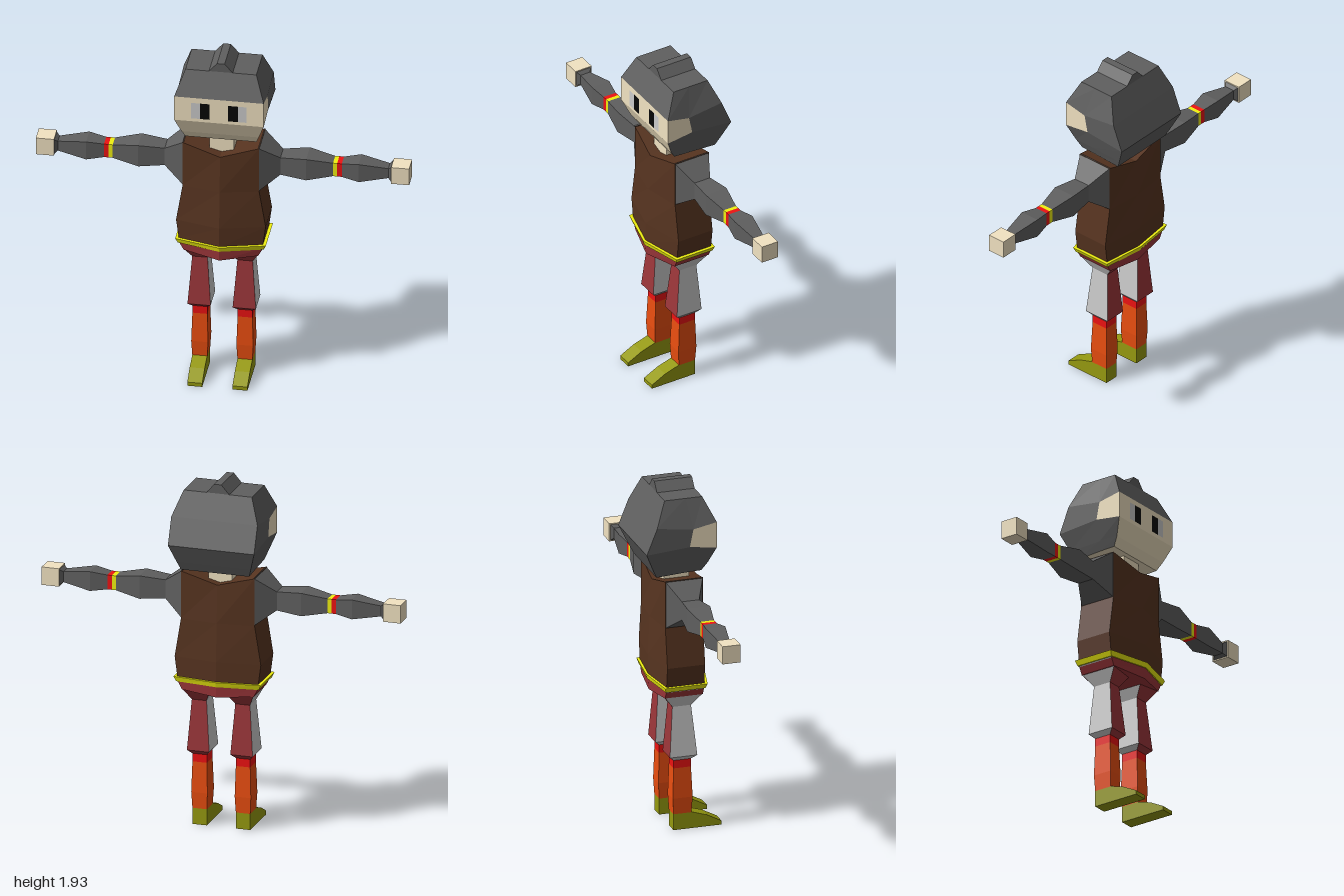
import * as THREE from 'three';

const SKIN = 0xf2e3c2, DARK = 0x5f5f5f, BROWN = 0x573420, MAROON = 0x9c363a, GREY = 0xcccccc;
const RED = 0xee1212, YELLOW = 0xf0f010, ORANGE = 0xea4e10, OLIVE = 0x969a10, BLACK = 0x060606;

// Skin ascending rings of points; keep(segment, side) picks faces.
// Segment -1 is the bottom cap and segment rings.length - 1 the top cap.
function loft(name, rings, color, keep = () => true) {
  const pos = [];
  const tri = (...pts) => pts.forEach((p) => pos.push(...p));
  const n = rings[0].length, last = rings.length - 1;
  for (let s = 0; s < last; s++) {
    for (let i = 0; i < n; i++) {
      if (!keep(s, i)) continue;
      const j = (i + 1) % n, a = rings[s], b = rings[s + 1];
      tri(a[i], a[j], b[j]);
      tri(a[i], b[j], b[i]);
    }
  }
  for (let i = 1; i < n - 1; i++) {
    if (keep(-1, 0)) tri(rings[0][0], rings[0][i + 1], rings[0][i]);
    if (keep(last, 0)) tri(rings[last][0], rings[last][i], rings[last][i + 1]);
  }
  const geo = new THREE.BufferGeometry();
  geo.setAttribute('position', new THREE.Float32BufferAttribute(pos, 3));
  geo.computeVertexNormals();
  const mesh = new THREE.Mesh(geo, new THREE.MeshStandardMaterial({ color, flatShading: true }));
  mesh.name = name;
  return mesh;
}

// Ring shapes
const rect = ([y, w, f, b = -f]) => [[w, y, f], [w, y, b], [-w, y, b], [-w, y, f]];
const hex = ([y, w, c, f, b, yMid = y]) =>
  [[0, yMid, f], [w, y, c], [w, y, -c], [0, yMid, b], [-w, y, -c], [-w, y, c]];
const headRing = ([y, yBack, w, f, b, yMid, m]) =>
  [[w, y, f], [w, yMid, m], [w, yBack, b], [-w, yBack, b], [-w, yMid, m], [-w, y, f]];

function makeHead() {
  const head = new THREE.Group();
  head.name = 'head';
  const rings = [
    [1.468, 1.455, 0.19, 0.10, -0.15, 1.465, 0.01],
    [1.515, 1.505, 0.207, 0.13, -0.174, 1.513, 0.015],
    [1.606, 1.606, 0.24, 0.17, -0.22, 1.626, 0.02],
    [1.75, 1.75, 0.24, 0.17, -0.162, 1.724, 0.04],
    [1.885, 1.885, 0.19, 0.105, -0.105, 1.885, 0.01],
  ].map(headRing);
  // Skin: chin front, underside, and the face band wrapping to the cheeks
  const isSkin = (s, i) => s === -1 || (s < 2 && i === 5) || (s === 2 && [0, 4, 5].includes(i));
  head.add(loft('face', rings, SKIN, isSkin));
  head.add(loft('hood', rings, DARK, (s, i) => !isSkin(s, i)));
  head.add(loft('crest', [[1.88, 0.068, 0.105], [1.935, 0.02, 0.105]].map(rect), DARK));
  head.add(loft('neck', [[1.34, 0.065, 0.073, -0.065], [1.48, 0.065, 0.073, -0.065]].map(rect), SKIN));
  for (const side of [-1, 1]) {
    for (const [name, color, x, w] of [['pupil', BLACK, 0.076, 0.052], ['eyeWhite', GREY, 0.125, 0.046]]) {
      const eye = new THREE.Mesh(new THREE.PlaneGeometry(w, 0.095), new THREE.MeshStandardMaterial({ color }));
      eye.name = name;
      eye.position.set(side * x, 1.673, 0.173);
      head.add(eye);
    }
  }
  return head;
}

function makeBody() {
  const body = new THREE.Group();
  body.name = 'body';
  body.add(loft('tunic', [
    [0.835, 0.225, 0.105, 0.163, -0.133],
    [0.95, 0.24, 0.105, 0.163, -0.135],
    [1.165, 0.205, 0.105, 0.147, -0.125],
    [1.43, 0.205, 0.105, 0.135, -0.113, 1.375],
  ].map(hex), BROWN));
  body.add(loft('belt', [
    [0.812, 0.23, 0.11, 0.17, -0.138],
    [0.84, 0.243, 0.118, 0.178, -0.146],
  ].map(hex), YELLOW));
  body.add(loft('pelvis', [
    [0.768, 0.2, 0.105, 0.16, -0.13, 0.752],
    [0.815, 0.225, 0.105, 0.165, -0.135],
  ].map(hex), MAROON));
  return body;
}

// Arm grows along +y from the body centre line, then is turned outward
function makeArm(side) {
  const arm = new THREE.Group();
  arm.name = side > 0 ? 'leftArm' : 'rightArm';
  const part = (name, color, rings) => arm.add(loft(name, rings.map(rect), color));
  part('upperArm', DARK, [[0.2, 0.133, 0.105], [0.31, 0.052, 0.048], [0.45, 0.064, 0.064], [0.59, 0.04, 0.038]]);
  part('yellowBand', YELLOW, [[0.59, 0.04, 0.038], [0.612, 0.04, 0.038]]);
  part('redBand', RED, [[0.612, 0.04, 0.038], [0.637, 0.04, 0.038]]);
  part('forearm', DARK, [[0.637, 0.04, 0.038], [0.73, 0.054, 0.054], [0.885, 0.029, 0.029], [0.905, 0.045, 0.045]]);
  part('hand', SKIN, [[0.903, 0.05, 0.05], [1.0, 0.05, 0.05]]);
  arm.rotation.z = -side * Math.PI / 2;
  arm.position.y = 1.298;
  return arm;
}

function makeLeg(side) {
  const leg = new THREE.Group();
  leg.name = side > 0 ? 'leftLeg' : 'rightLeg';
  // Trousers: coloured front and back, grey down both sides
  const trousers = [
    [0.395, 0.04, 0.052, -0.045],
    [0.42, 0.062, 0.08, -0.072],
    [0.7, 0.041, 0.052],
    [0.77, 0.076, 0.105],
  ].map(rect);
  // The outer hip side continues up to the belt
  trousers.push(rect([0.812, 0.076, 0.105]).map(([x, y, z]) => [x * side > 0 ? x + side * 0.027 : x, y, z]));
  const isSide = (s, i) => s >= 0 && s < 4 && i % 2 === 0;
  leg.add(loft('trouserSides', trousers, GREY, isSide));
  leg.add(loft('trousers', trousers, MAROON, (s, i) => !isSide(s, i)));
  leg.add(loft('sockBand', [[0.35, 0.04, 0.052, -0.045], [0.396, 0.04, 0.052, -0.045]].map(rect), RED));
  leg.add(loft('sock', [
    [0.09, 0.04, 0.055, -0.045],
    [0.18, 0.045, 0.06, -0.05],
    [0.35, 0.04, 0.052, -0.045],
  ].map(rect), ORANGE));

  // Shoe: side profile (z, y) extruded across the width
  const profile = [[-0.045, 0], [0.222, 0], [0.222, 0.022], [0.14, 0.065], [0.055, 0.092], [-0.045, 0.092]];
  const geo = new THREE.ExtrudeGeometry(
    new THREE.Shape(profile.map(([z, y]) => new THREE.Vector2(-z, y))),
    { depth: 0.08, bevelEnabled: false });
  geo.translate(0, 0, -0.04).rotateY(Math.PI / 2);
  const shoe = new THREE.Mesh(geo, new THREE.MeshStandardMaterial({ color: OLIVE, flatShading: true }));
  shoe.name = 'shoe';
  leg.add(shoe);
  leg.position.x = side * 0.121;
  return leg;
}

export function createModel() {
  const model = new THREE.Group();
  model.name = 'figure';
  model.add(makeHead(), makeBody());
  for (const side of [1, -1]) model.add(makeArm(side), makeLeg(side));
  return model;
}
